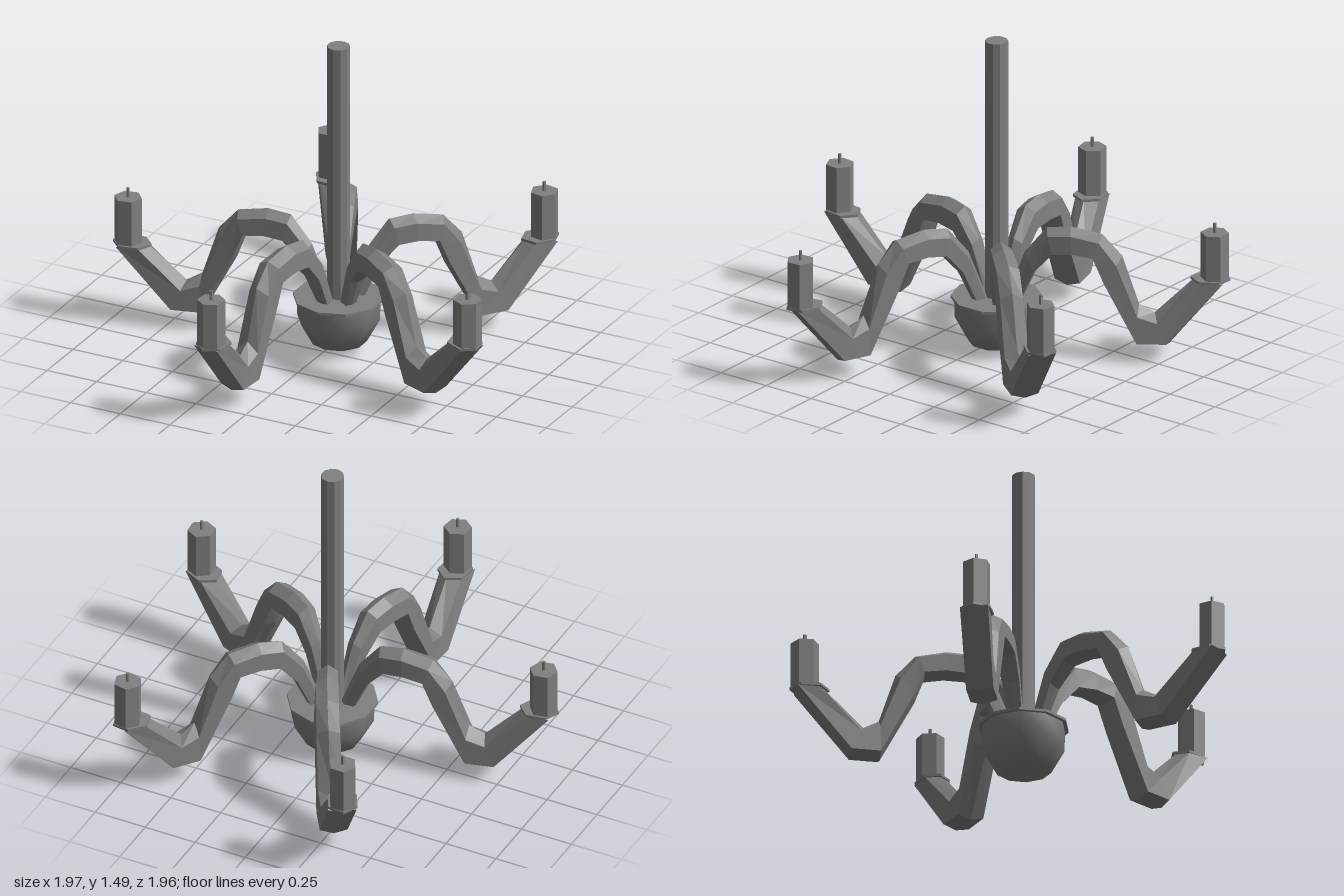
import * as THREE from 'three';

const smooth = new THREE.MeshStandardMaterial({ color: 0x808080 });
const facet = new THREE.MeshStandardMaterial({ color: 0x808080, flatShading: true });
const rad = THREE.MathUtils.degToRad;

function add(parent, name, geometry, material, x = 0, y = 0, z = 0) {
  const mesh = new THREE.Mesh(geometry, material);
  mesh.name = name;
  mesh.position.set(x, y, z);
  parent.add(mesh);
  return mesh;
}

// Arm sections: [top radius, top y, bottom radius, bottom y, half width]
const SECTIONS = [
  [0.02, 0.20, 0.08, 0.18, 0.022],
  [0.13, 0.49, 0.18, 0.40, 0.040],
  [0.23, 0.615, 0.26, 0.49, 0.050],
  [0.34, 0.627, 0.35, 0.50, 0.055],
  [0.48, 0.60, 0.44, 0.49, 0.058],
  [0.57, 0.50, 0.485, 0.37, 0.058],
  [0.645, 0.27, 0.64, 0.08, 0.062],
  [0.715, 0.23, 0.78, 0.085, 0.062],
  [0.885, 0.39, 1.035, 0.39, 0.064],
];

// Sideways bow of the arm as seen from above
const bow = (r) => 0.045 * Math.sin(Math.PI * Math.min(r / 0.98, 1));

// Six-sided arm skinned through the sections: a ridge on top, upright sides
// and a nearly flat underside
function armGeometry() {
  const positions = [];
  const index = [];
  for (const [tr, ty, br, by, w] of SECTIONS) {
    const shift = bow((tr + br) / 2);
    // Corners as [share of the way from top to bottom, share of half width]
    for (const [t, s] of [[0, 0], [0.24, 0.9], [0.9, 1], [1, 0], [0.9, -1], [0.24, -0.9]]) {
      positions.push(tr + (br - tr) * t, ty + (by - ty) * t, shift + s * w);
    }
  }
  for (let i = 0; i < SECTIONS.length - 1; i++) {
    for (let j = 0; j < 6; j++) {
      const a = i * 6 + j, b = i * 6 + (j + 1) % 6;
      index.push(a, b, a + 6, b, b + 6, a + 6);
    }
  }
  const geometry = new THREE.BufferGeometry();
  geometry.setAttribute('position', new THREE.Float32BufferAttribute(positions, 3));
  geometry.setIndex(index);
  geometry.computeVertexNormals();
  return geometry;
}

// Hexagonal prism with a corner pointing outward along the arm
const hex = (r, h) => new THREE.CylinderGeometry(r, r, h, 6, 1, false, rad(30));

export function createModel() {
  const model = new THREE.Group();
  model.name = 'chandelier';
  const hub = new THREE.Group();
  hub.name = 'hub';
  hub.position.set(0.04, 0, -0.065);
  model.add(hub);

  // Central rod
  add(hub, 'rod', new THREE.CylinderGeometry(0.052, 0.052, 1.24, 10), facet, 0, 0.87);

  // Ten-sided bowl with smooth shading, and its thin rim plate
  const profile = [[0, 0.003], [0.127, 0.045], [0.187, 0.155], [0.19, 0.25]]
    .map(([r, y]) => new THREE.Vector2(r, y));
  add(hub, 'bowl', new THREE.LatheGeometry(profile, 10), smooth);
  add(hub, 'bowlRim', new THREE.CylinderGeometry(0.206, 0.206, 0.012, 10), facet, 0, 0.256);

  // Five arms, each carrying a drip plate, candle and wick
  const arm = armGeometry();
  for (let i = 0; i < 5; i++) {
    const branch = new THREE.Group();
    branch.name = `branch${i + 1}`;
    branch.rotation.y = -rad(26.4 + 71.3 * i);
    hub.add(branch);
    add(branch, 'arm', arm, facet);
    const plate = add(branch, 'dripPlate', hex(0.09, 0.012), facet, 0.96, 0.392);
    plate.scale.z = 0.84;
    add(branch, 'candle', hex(0.064, 0.22), facet, 0.98, 0.505);
    add(branch, 'wick', hex(0.008, 0.05), facet, 0.98, 0.635);
  }
  return model;
}
